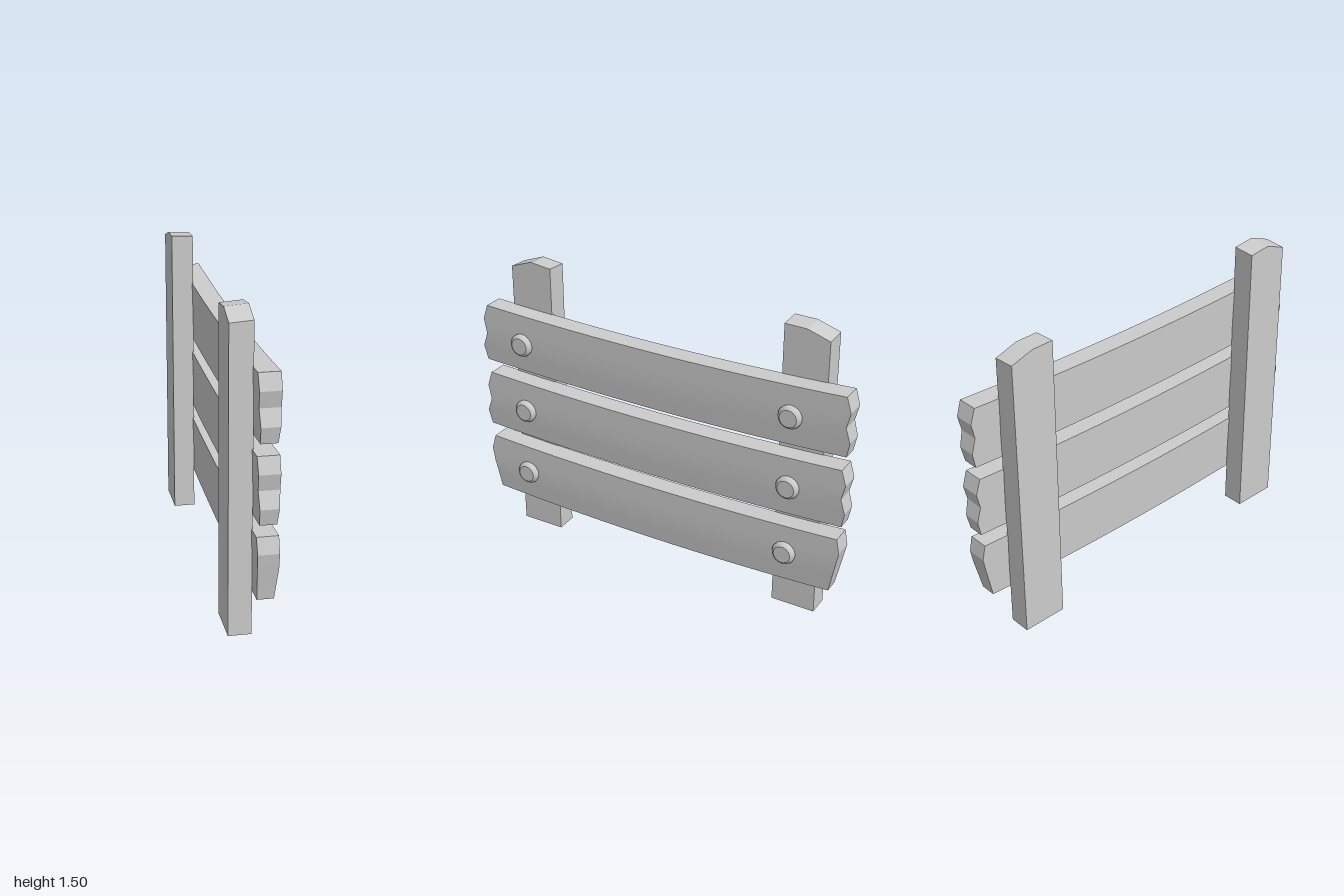
import * as THREE from 'three';
import { toCreasedNormals } from 'three/addons/utils/BufferGeometryUtils.js';

const grey = new THREE.MeshStandardMaterial({ color: 0xcccccc });
grey.name = 'grey';

// Moves every vertex of a geometry by a rule, then sharpens its creases
function reshape(geometry, rule, crease = 0.2) {
  const p = geometry.attributes.position;
  for (let i = 0; i < p.count; i++) p.setXYZ(i, ...rule(p.getX(i), p.getY(i), p.getZ(i)));
  return toCreasedNormals(geometry, crease);
}

// Upright with a ridged top: heights at the +z edge, the ridge and the -z edge
function post(name, z, [left, ridge, right], backDrop) {
  const geo = reshape(new THREE.BoxGeometry(1, 1, 1, 1, 1, 2), (x, y, w) => {
    const top = w > 0.1 ? left : w < -0.1 ? right : ridge;
    return [
      x > 0 ? -0.01 : -0.118,
      y > 0 ? top - (x < 0 ? backDrop : 0) : 0,
      z + w * 0.226,
    ];
  }, 0.1);
  const mesh = new THREE.Mesh(geo, grey);
  mesh.name = name;
  return mesh;
}

// Sagging plank; the end rows list z from bottom to top at each end
function plank(name, y0, leftEnd, rightEnd) {
  const geo = reshape(new THREE.BoxGeometry(1, 1, 2, 1, 4, 16), (x, y, u) => {
    const t = y + 0.5;
    const row = Math.round(t * 4);
    const z = u > 0 ? u * leftEnd[row] : -u * rightEnd[row];
    const front = 0.07 + 0.015 * Math.min(1, t * 2);
    const back = -0.007 - 0.008 * t;
    return [x > 0 ? front : back, y0 + t * 0.306 - 0.027 * (1 - u * u), z];
  });
  const mesh = new THREE.Mesh(geo, grey);
  mesh.name = name;
  return mesh;
}

// Round bolt head with a bevelled rim, facing +x
const boltProfile = [[0.05, 0], [0.058, 0.012], [0.059, 0.024], [0.054, 0.034], [0.043, 0.042], [0, 0.042]]
  .map(([r, h]) => new THREE.Vector2(r, h));
const boltGeometry = toCreasedNormals(
  new THREE.LatheGeometry(boltProfile, 20).rotateZ(-Math.PI / 2), 0.6);

export function createModel() {
  const fence = new THREE.Group();
  fence.name = 'fence';

  fence.add(
    post('leftPost', 0.75, [1.455, 1.497, 1.484], 0.008),
    post('rightPost', -0.729, [1.49, 1.488, 1.452], -0.005),
  );

  // Planks from bottom to top; the upper two have notched ends
  const notchedLeft = [0.985, 1.0, 0.97, 0.985, 0.959];
  const notchedRight = [-0.985, -1.0, -0.98, -0.998, -0.975];
  const planks = [
    ['lowerPlank', 0.213, [0.948, 0.96, 0.973, 0.985, 0.962], [-0.943, -0.959, -0.975, -0.99, -0.975]],
    ['middlePlank', 0.583, notchedLeft, notchedRight],
    ['upperPlank', 0.953, notchedLeft, notchedRight],
  ];
  const boltSpots = [
    [0.361, 0.755, -0.713],
    [0.723, 0.752, -0.715],
    [1.091, 0.757, -0.71],
  ];
  planks.forEach((args, i) => {
    fence.add(plank(...args));
    const [y, ...sides] = boltSpots[i];
    for (const z of sides) {
      const bolt = new THREE.Mesh(boltGeometry, grey);
      bolt.name = 'bolt';
      bolt.position.set(0.07, y, z);
      fence.add(bolt);
    }
  });
  return fence;
}
